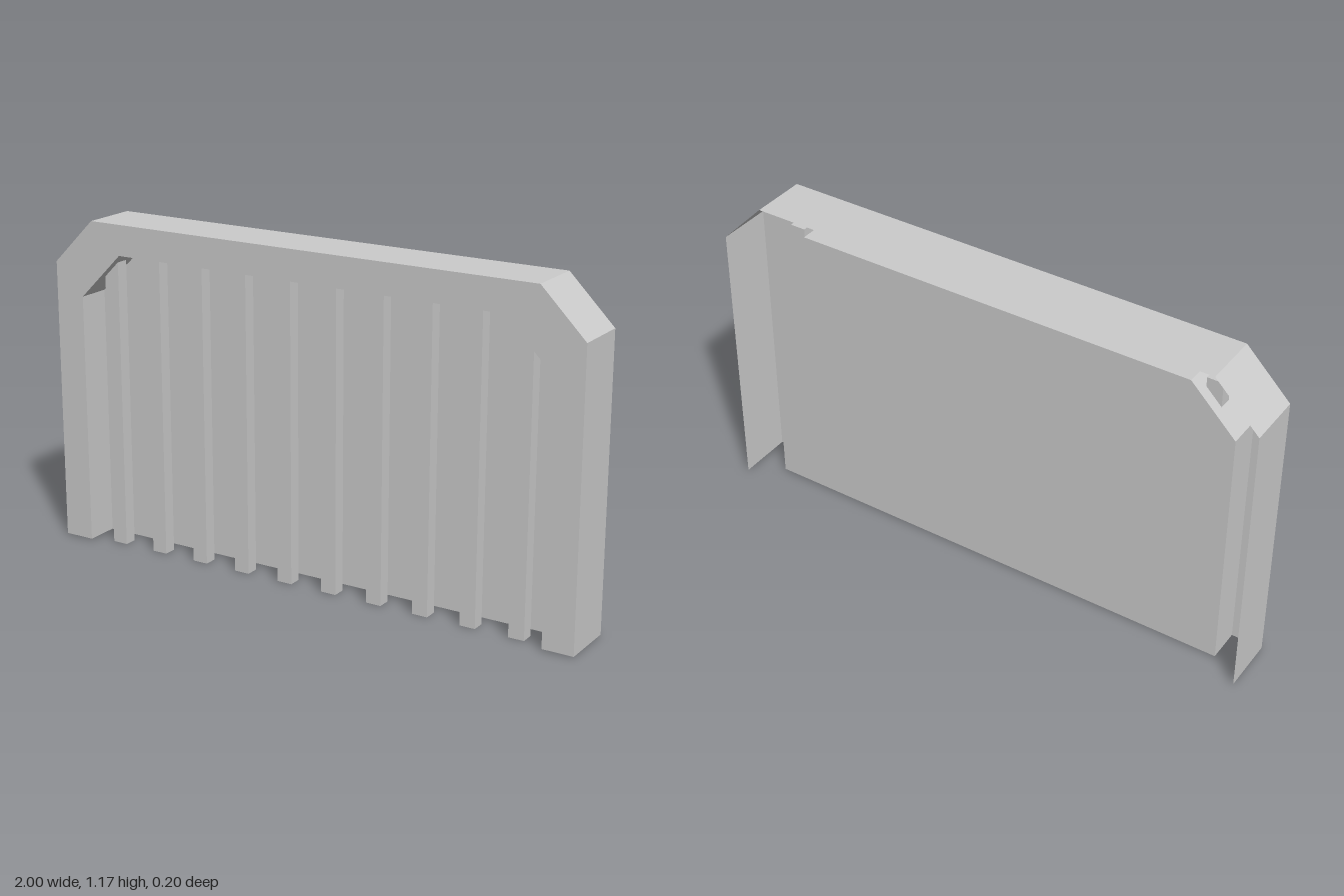
import * as THREE from 'three';

const material = new THREE.MeshStandardMaterial({ color: 0xcccccc, flatShading: true, side: THREE.DoubleSide });

const BASE = 0.005, FRONT = 0.1, BACK = -0.1, PANEL = -0.02;

// Open arch outline with chamfered corners, from +x foot over the top to -x foot
function arch(halfWidth, height, chamfer) {
  const right = [[halfWidth, BASE], [halfWidth, height - chamfer], [halfWidth - chamfer, height]];
  const left = right.map(([x, y]) => [-x, y]).reverse();
  return [...right, ...left].map(([x, y]) => new THREE.Vector2(x, y));
}

// Thin wall sweeping an outline between two depths
function wall(points, zA, zB) {
  const pos = [];
  for (let i = 0; i < points.length - 1; i++) {
    const a = points[i], b = points[i + 1];
    pos.push(a.x, a.y, zA, a.x, a.y, zB, b.x, b.y, zB);
    pos.push(a.x, a.y, zA, b.x, b.y, zB, b.x, b.y, zA);
  }
  const geometry = new THREE.BufferGeometry();
  geometry.setAttribute('position', new THREE.Float32BufferAttribute(pos, 3));
  geometry.computeVertexNormals();
  return geometry;
}

export function createModel() {
  const model = new THREE.Group();
  model.name = 'grille';

  const add = (name, geometry, x = 0, y = 0, z = 0) => {
    const mesh = new THREE.Mesh(geometry, material);
    mesh.name = name;
    mesh.position.set(x, y, z);
    model.add(mesh);
  };

  const outer = arch(1, 1.167, 0.158);
  const inner = arch(0.89, 1.06, 0.163);

  // Sheet frame: front face, outer wall and recessed inner wall, open behind and below
  const face = new THREE.Shape([...outer, ...[...inner].reverse()]);
  add('frameFace', new THREE.ShapeGeometry(face), 0, 0, FRONT);
  add('outerWall', wall(outer, FRONT, BACK));
  add('innerWall', wall(inner, PANEL, FRONT));

  // Panel closing the back of the opening
  add('backPanel', new THREE.ShapeGeometry(new THREE.Shape(inner)), 0, 0, PANEL);

  // Row of upright bars; the end ones poke through the chamfers
  const count = 10, spacing = 0.1747, barHeight = 1.06;
  for (let i = 0; i < count; i++) {
    const x = (i - (count - 1) / 2) * spacing - 0.002;
    add('bar' + (i + 1), new THREE.BoxGeometry(0.056, barHeight, 0.046), x, barHeight / 2, 0.042);
  }
  return model;
}
